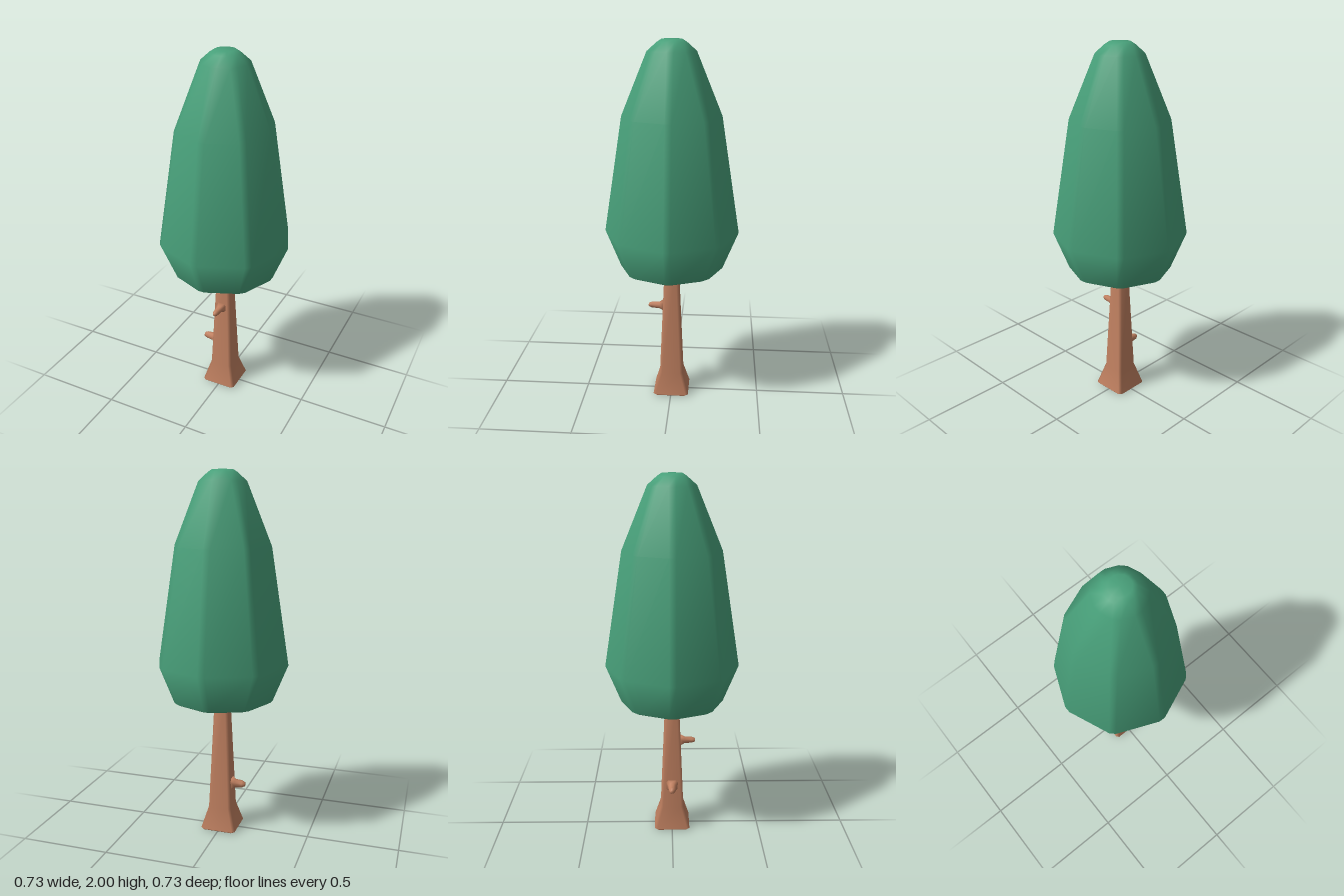
import * as THREE from 'three';

// Closed loft of a regular polygon with clipped corners; rings are [y, cornerRadius]
function loft(sides, turn, rings, clip) {
  const pos = [], idx = [], n = sides * 2;
  const edge = 2 * Math.sin(Math.PI / sides);
  for (const [y, r] of rings) {
    const t = Math.min(0.3, clip / (r * edge));
    for (let i = 0; i < sides; i++) {
      const corner = (k) => {
        const a = turn + ((i + k) / sides) * Math.PI * 2;
        return new THREE.Vector3(Math.sin(a) * r, y, Math.cos(a) * r);
      };
      const c = corner(0);
      for (const k of [-1, 1]) pos.push(...c.clone().lerp(corner(k), t).toArray());
    }
  }
  const last = rings.length - 1;
  for (let j = 0; j < last; j++) {
    for (let i = 0; i < n; i++) {
      const a = j * n + i, b = j * n + ((i + 1) % n);
      idx.push(a, b, b + n, a, b + n, a + n);
    }
  }
  // End caps
  const low = pos.length / 3, high = low + 1;
  pos.push(0, rings[0][0], 0, 0, rings[last][0], 0);
  for (let i = 0; i < n; i++) {
    const k = (i + 1) % n;
    idx.push(low, k, i, high, last * n + i, last * n + k);
  }
  const geo = new THREE.BufferGeometry();
  geo.setAttribute('position', new THREE.Float32BufferAttribute(pos, 3));
  geo.setIndex(idx);
  geo.computeVertexNormals();
  return geo;
}

// Square rings given by half width
const square = (rings) => rings.map(([y, h]) => [y, h * Math.SQRT2]);

export function createModel() {
  const tree = new THREE.Group();
  tree.name = 'tree';
  const leafGreen = new THREE.MeshStandardMaterial({ color: 0x48a07a });
  leafGreen.name = 'leaf green';
  const barkBrown = new THREE.MeshStandardMaterial({ color: 0xc08060 });
  barkBrown.name = 'bark brown';

  const add = (name, geo, mat) => {
    const mesh = new THREE.Mesh(geo, mat);
    mesh.name = name;
    tree.add(mesh);
    return mesh;
  };

  // Eight-sided crown
  add('crown', loft(8, 0, [
    [0.765, 0.272], [0.775, 0.29], [0.98, 0.373], [1.61, 0.272],
    [1.94, 0.135], [1.985, 0.083], [2.0, 0.058],
  ], 0.02), leafGreen);

  // Square trunk with a flared foot
  add('trunk', loft(4, Math.PI / 4, square([
    [0, 0.093], [0.008, 0.1], [0.13, 0.065], [0.78, 0.038],
  ]), 0.014), barkBrown);

  // Branch stubs, lofted along y and turned outwards
  const stub = square([[0, 0.036], [0.025, 0.022], [0.065, 0.019], [0.082, 0.011]]);
  const side = add('sideBranch', loft(4, Math.PI / 4, stub, 0.012), barkBrown);
  side.rotation.z = Math.PI / 2;
  side.position.set(-0.052, 0.268, 0);

  const front = add('frontBranch', loft(4, Math.PI / 4, stub, 0.012), barkBrown);
  front.rotation.x = Math.PI / 2;
  front.position.set(-0.003, 0.53, 0.043);
  front.scale.set(0.85, 1.08, 0.8);

  return tree;
}
